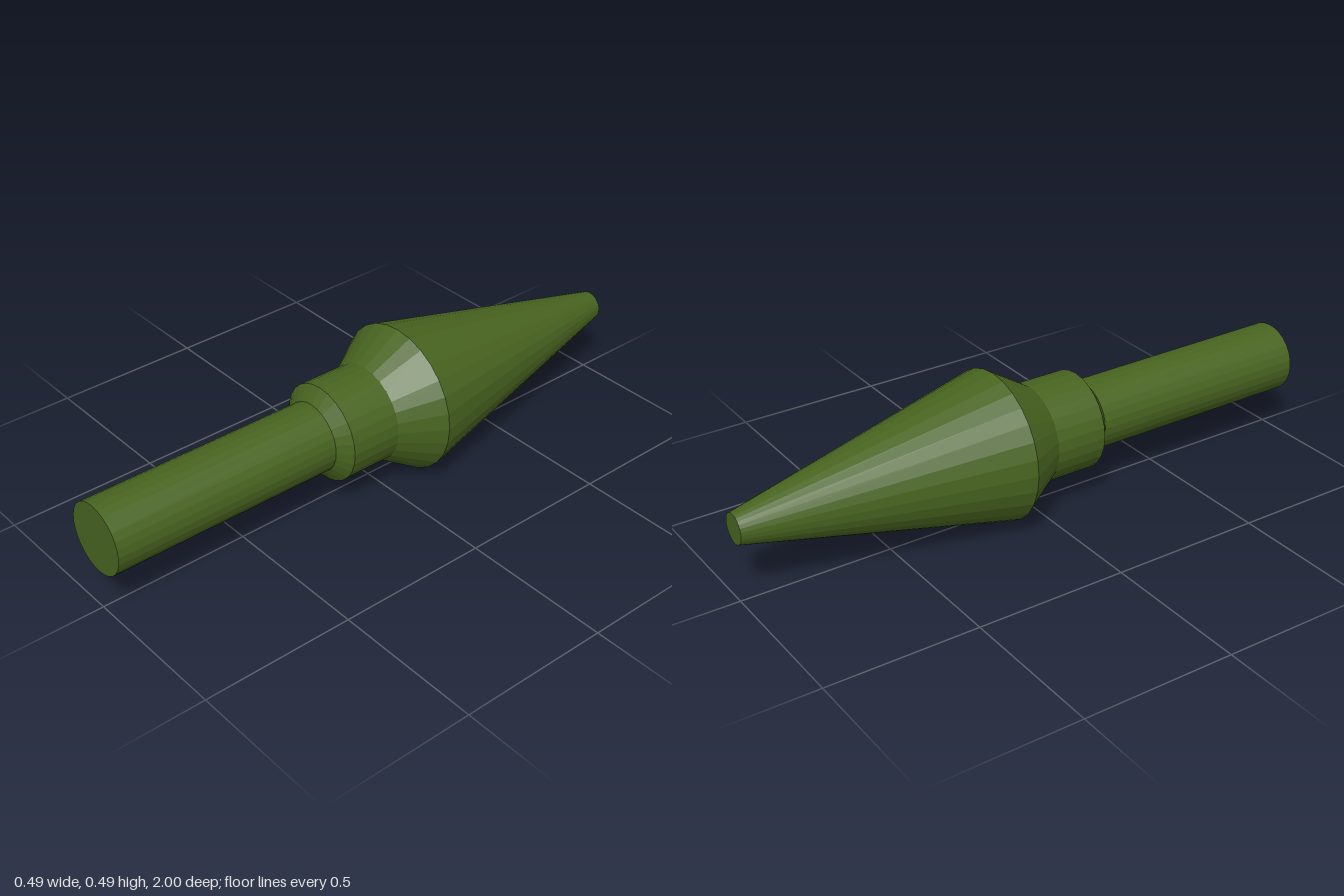
import * as THREE from 'three';

const SIDES = 28;
const AXIS_Y = 0.247;

// Solid of revolution about the z axis, from [z, radius] pairs in rising z
function turned(name, profile, material) {
  const points = profile.map(([z, r]) => new THREE.Vector2(r, z));
  const geometry = new THREE.LatheGeometry(points, SIDES).rotateX(Math.PI / 2);
  const mesh = new THREE.Mesh(geometry, material);
  mesh.name = name;
  mesh.position.y = AXIS_Y;
  return mesh;
}

export function createModel() {
  const group = new THREE.Group();
  group.name = 'taperedProjectile';
  const green = new THREE.MeshStandardMaterial({ color: 0x486420, flatShading: true });

  // Long blunt cone, flaring back in to the collar
  const head = turned('head', [
    [-1, 0], [-1, 0.049], [-0.121, 0.245], [0.013, 0.161], [0.013, 0],
  ], green);

  // Short collar with a chamfered front edge
  const collar = turned('collar', [
    [0.013, 0.161], [0.187, 0.161], [0.223, 0.115], [0.223, 0],
  ], green);

  // Plain shaft, rising very slightly towards its free end
  const shaft = turned('shaft', [
    [0.2, 0], [0.2, 0.115], [1, 0.1155], [1, 0],
  ], green);
  shaft.rotation.x = -0.0035;

  group.add(head, collar, shaft);
  return group;
}
